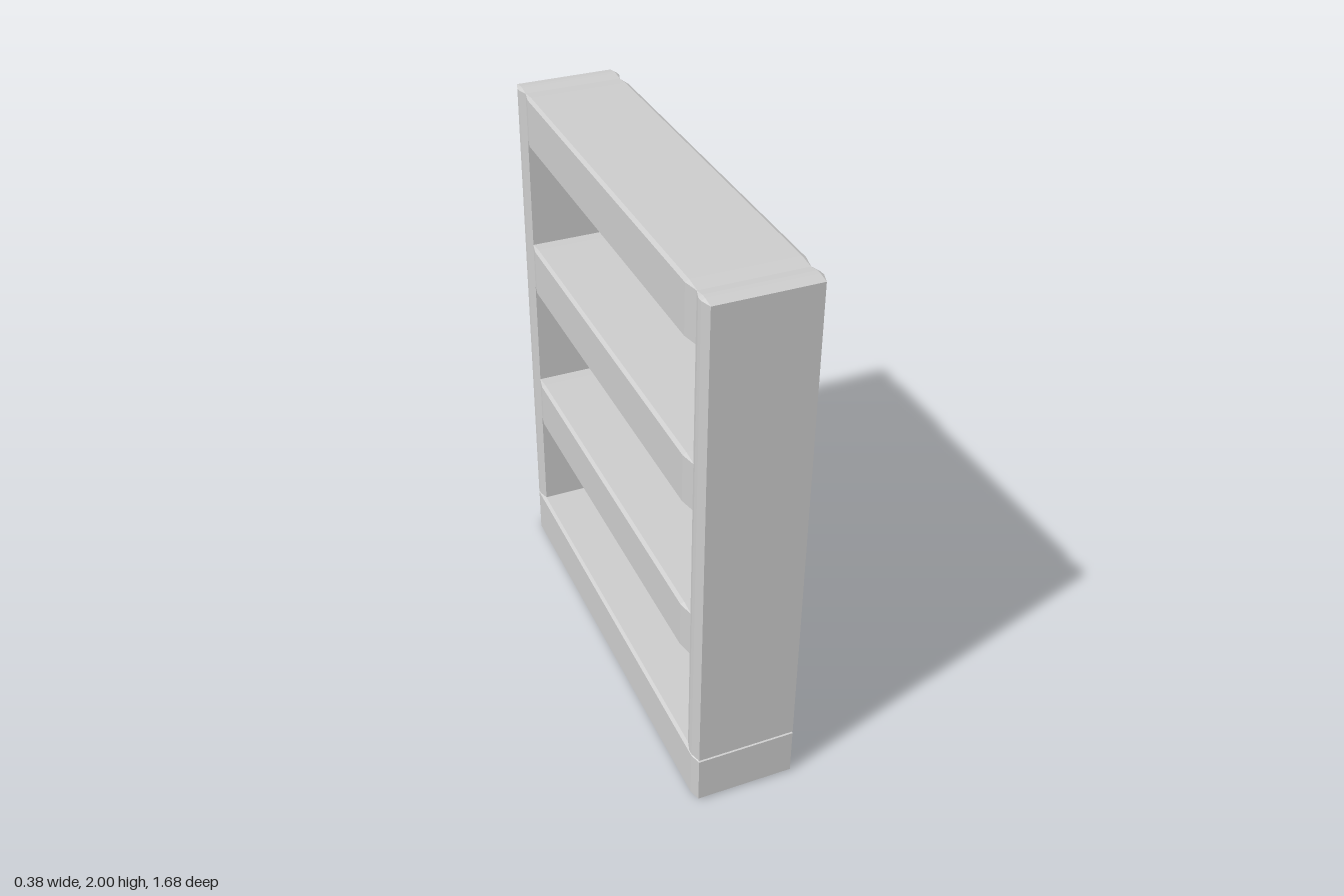
import * as THREE from 'three';
import { ConvexGeometry } from 'three/addons/geometries/ConvexGeometry.js';

// Box with chamfered edges; the chamfer differs per axis
function chamferBox([w, h, d], [bx, by, bz]) {
  const points = [];
  for (const sx of [-1, 1]) for (const sy of [-1, 1]) for (const sz of [-1, 1]) {
    const x = w / 2, y = h / 2, z = d / 2;
    points.push(
      new THREE.Vector3(sx * x, sy * (y - by), sz * (z - bz)),
      new THREE.Vector3(sx * (x - bx), sy * y, sz * (z - bz)),
      new THREE.Vector3(sx * (x - bx), sy * (y - by), sz * z)
    );
  }
  return new ConvexGeometry(points);
}

export function createModel() {
  const group = new THREE.Group();
  const material = new THREE.MeshStandardMaterial({ color: 0xcccccc, flatShading: true });

  const add = (name, size, bevel, y, z) => {
    const mesh = new THREE.Mesh(chamferBox(size, bevel), material);
    mesh.name = name;
    mesh.position.set(0, y, z);
    group.add(mesh);
  };

  // Base board under both uprights
  add('baseBoard', [0.38, 0.195, 1.68], [0.012, 0.007, 0.04], 0.0975, 0);

  // Three shelves, tapering slightly where they meet the uprights
  [0.7025, 1.305, 1.905].forEach((y, i) => {
    add(`shelf${i + 1}`, [0.38, 0.19, 1.5], [0.013, 0.007, 0.06], y, 0);
  });

  // Upright side panels
  for (const s of [-1, 1]) {
    add(s > 0 ? 'frontUpright' : 'backUpright',
      [0.38, 1.81, 0.096], [0.012, 0.007, 0.038], 1.095, s * 0.792);
  }
  return group;
}
